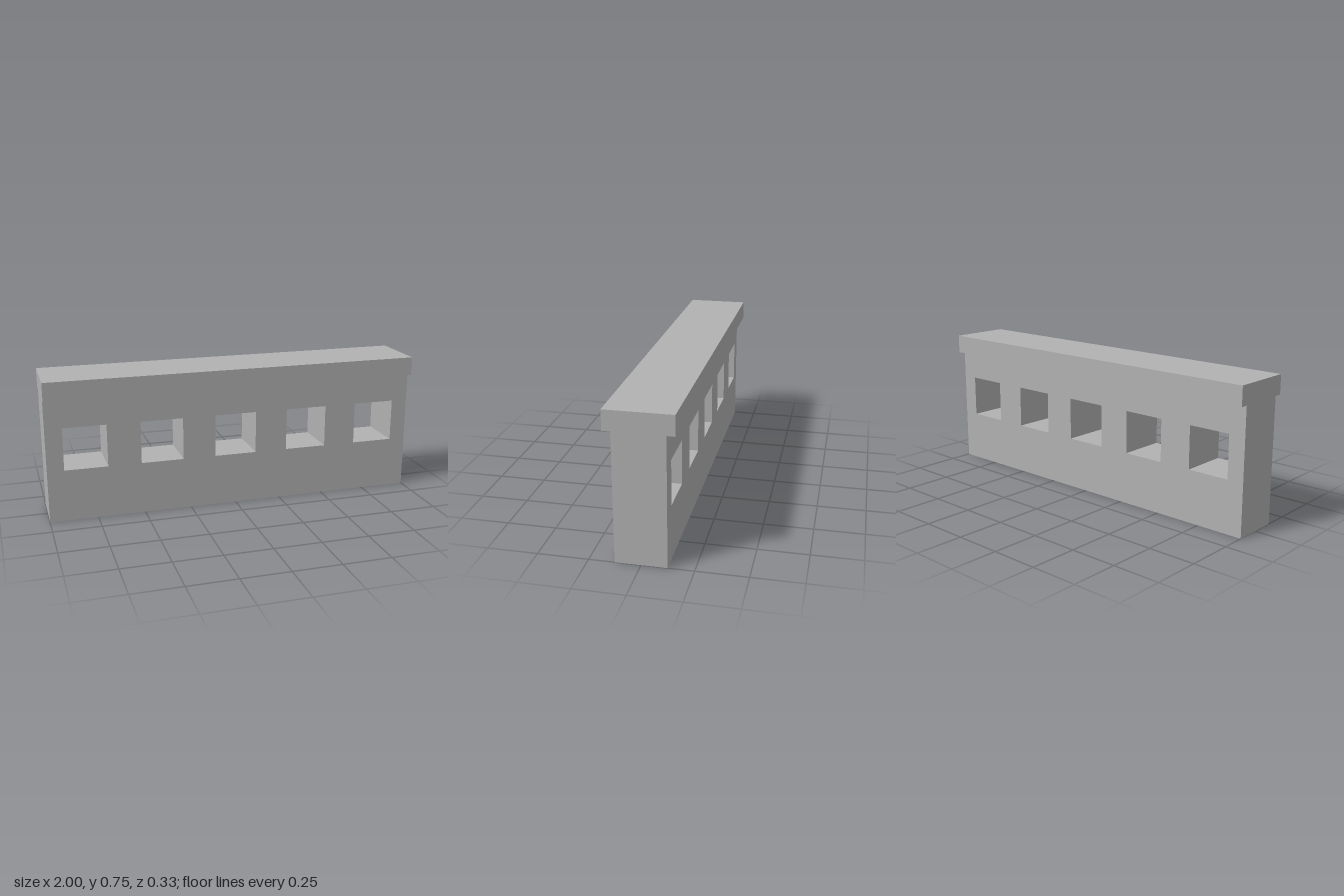
import * as THREE from 'three';

export function createModel() {
  const group = new THREE.Group();
  group.name = 'parapetWall';
  const stone = new THREE.MeshStandardMaterial({ color: 0xb2b2b2 });
  stone.name = 'stoneGrey';

  const rectangle = (path, x0, y0, x1, y1) => {
    path.moveTo(x0, y0);
    path.lineTo(x1, y0);
    path.lineTo(x1, y1);
    path.lineTo(x0, y1);
    path.closePath();
    return path;
  };

  // Wall pierced by five square openings
  const wallHeight = 0.65, wallDepth = 0.25, half = 0.1125;
  const outline = rectangle(new THREE.Shape(), -1, 0, 1, wallHeight);
  for (let i = -2; i <= 2; i++) {
    const x = i * 0.4;
    outline.holes.push(rectangle(new THREE.Path(), x - half, 0.275, x + half, 0.5));
  }
  const wallGeometry = new THREE.ExtrudeGeometry(outline, { depth: wallDepth, bevelEnabled: false });
  wallGeometry.translate(0, 0, -wallDepth / 2);
  const wall = new THREE.Mesh(wallGeometry, stone);
  wall.name = 'wall';
  group.add(wall);

  // Overhanging coping along the top
  const coping = new THREE.Mesh(new THREE.BoxGeometry(2, 0.1, 0.33), stone);
  coping.name = 'coping';
  coping.position.y = wallHeight + 0.05;
  group.add(coping);

  return group;
}
